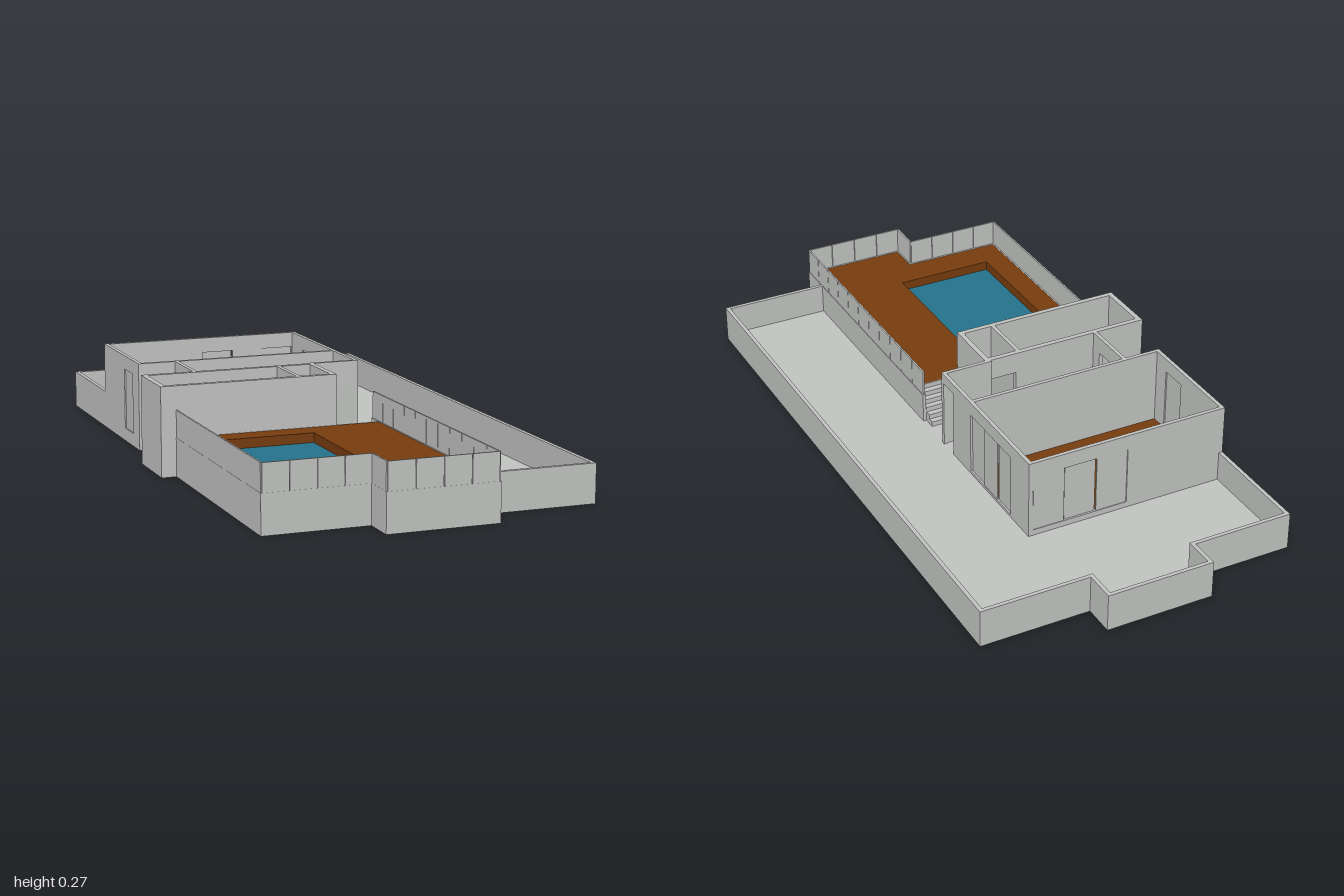
import * as THREE from 'three';

const mat = (name, color) => {
  const m = new THREE.MeshStandardMaterial({ color });
  m.name = name;
  return m;
};

export function createModel() {
  const root = new THREE.Group();
  root.name = 'terraceHouse';
  const concrete = mat('concreteGrey', 0xc0c2c0);
  const timber = mat('timberBrown', 0x763b0e);
  const water = mat('waterBlue', 0x25728a);
  const T = 0.012, FLOOR = 0.022, LOW = 0.115, HIGH = 0.267;

  const add = (name, geo, material, parent = root) => {
    const m = new THREE.Mesh(geo, material);
    m.name = name;
    parent.add(m);
    return m;
  };
  const group = (name) => {
    const g = new THREE.Group();
    g.name = name;
    root.add(g);
    return g;
  };
  // Box given by its minimum and maximum corners
  const box = (name, a, b, material, parent) => {
    const m = add(name, new THREE.BoxGeometry(b[0] - a[0], b[1] - a[1], b[2] - a[2]), material, parent);
    m.position.set((a[0] + b[0]) / 2, (a[1] + b[1]) / 2, (a[2] + b[2]) / 2);
    return m;
  };
  // Flat plan outline in x, z raised from y0 to y1
  const outline = (pts) => pts.map(([x, z]) => new THREE.Vector2(x, -z));
  const slab = (name, pts, y0, y1, material, hole) => {
    const s = new THREE.Shape(outline(pts));
    if (hole) s.holes.push(new THREE.Path(outline(hole)));
    const geo = new THREE.ExtrudeGeometry(s, { depth: y1 - y0, bevelEnabled: false });
    geo.rotateX(-Math.PI / 2).translate(0, y0, 0);
    return add(name, geo, material);
  };
  // Upright wall between two plan points; openings are [from, to, bottom, top]
  const wall = (name, a, b, y1, parent, openings = [], y0 = 0, t = T, extend = t / 2) => {
    const dx = b[0] - a[0], dz = b[1] - a[1], len = Math.hypot(dx, dz);
    const s = new THREE.Shape();
    s.moveTo(-extend, y0).lineTo(len + extend, y0).lineTo(len + extend, y1).lineTo(-extend, y1).closePath();
    for (const [u0, u1, v0, v1] of openings) {
      const h = new THREE.Path();
      h.moveTo(u0, v0).lineTo(u0, v1).lineTo(u1, v1).lineTo(u1, v0).closePath();
      s.holes.push(h);
    }
    const geo = new THREE.ExtrudeGeometry(s, { depth: t, bevelEnabled: false }).translate(0, 0, -t / 2);
    const m = add(name, geo, concrete, parent);
    m.rotation.y = Math.atan2(-dz, dx);
    m.position.set(a[0], 0, a[1]);
    return m;
  };

  // Ground slab, notched around the open tower
  slab('groundSlab', [
    [-0.465, 0.9], [-0.155, 0.9], [-0.155, 1], [0.175, 1], [0.175, 0.9], [0.51, 0.9],
    [0.51, -0.905], [0.175, -0.905], [0.175, -1], [-0.155, -1], [-0.155, -0.905], [-0.465, -0.905],
    [-0.465, -0.18], [-0.35, -0.18], [-0.35, 0], [0.028, 0], [0.028, 0.185], [-0.465, 0.185],
  ], 0, FLOOR, concrete);

  // Low parapet round the terrace
  const parapet = group('parapet');
  const edge = [[-0.459, -0.55], [-0.459, -0.899], [-0.149, -0.899], [-0.149, -0.994], [0.169, -0.994],
    [0.169, -0.899], [0.504, -0.899], [0.504, 0.894], [0.175, 0.894]];
  for (let i = 0; i < edge.length - 1; i++) wall('parapetWall', edge[i], edge[i + 1], LOW, parapet);

  // Back room and the hall in front of it
  const rooms = group('rooms');
  const L = -0.459, R = 0.169, B = -0.544, M = -0.184;
  wall('backWall', [L, B], [R, B], HIGH, rooms, [[0.315, 0.62, 0.04, 0.22]]);
  wall('leftWall', [L, B], [L, M], HIGH, rooms, [[0.215, 0.3, 0.04, 0.225]]);
  wall('rightWall', [R, B], [R, -0.006], HIGH, rooms, [[0.104, 0.354, 0.03, 0.225], [0.469, 0.53, FLOOR, 0.235]]);
  wall('middleWall', [L, M], [R, M], HIGH, rooms);
  wall('hallLeftWall', [-0.344, M], [-0.344, -0.006], HIGH, rooms, [[0.04, 0.14, 0.04, 0.215]]);
  wall('hallFrontWall', [0.02, -0.006], [R, -0.006], HIGH, rooms);
  box('roomFloor', [L, FLOOR, B], [R, FLOOR + 0.006, M], timber);

  // Sliding panes set back in the wide openings
  const panes = group('slidingPanes');
  for (let i = 0; i < 3; i++) {
    const z = -0.44 + i * 0.0833, x = -0.144 + i * 0.1017, o = i % 2 ? 0.002 : -0.002;
    box('sidePane', [R + o - 0.002, 0.03, z + 0.001], [R + o + 0.002, 0.225, z + 0.082], concrete, panes);
    box('backPane', [x + 0.001, 0.04, B + o - 0.002], [x + 0.1, 0.22, B + o + 0.002], concrete, panes);
  }
  box('leftPane', [L - 0.002, 0.04, -0.329], [L + 0.002, 0.225, -0.244], concrete, panes);

  // Open tower with a dividing wall
  const tower = group('tower');
  const tx0 = -0.502, tx1 = 0.022, tz0 = 0.002, tz1 = 0.179;
  wall('towerBack', [tx0, tz0], [tx1, tz0], HIGH, tower, [[0.43, 0.515, FLOOR, 0.2]], 0, 0.016);
  wall('towerFront', [tx0, tz1], [tx1, tz1], HIGH, tower, [], 0, 0.016);
  wall('towerLeft', [tx0, tz0], [tx0, tz1], HIGH, tower, [], 0, 0.016);
  wall('towerRight', [tx1, tz0], [tx1, tz1], HIGH, tower, [], 0, 0.016);
  wall('towerDivider', [-0.085, tz0], [-0.085, tz1], HIGH, tower);

  // Raised pool deck: grey retaining wall, timber floor, sunken water
  const plan = (i) => [[-0.465 + i, 0.9 - i], [-0.155 + i, 0.9 - i], [-0.155 + i, 1 - i],
    [0.175 - i, 1 - i], [0.175 - i, 0.185], [-0.465 + i, 0.185]];
  const pool = [[-0.38, 0.26], [-0.07, 0.26], [-0.07, 0.79], [-0.38, 0.79]];
  const inner = plan(0.01).map(([x, z]) => [x, z === 0.185 ? 0.188 : z]);
  slab('deckWall', plan(0), FLOOR, LOW, concrete, inner);
  slab('deckFloor', inner, FLOOR, LOW - 0.001, timber, pool);
  box('poolWater', [-0.38, FLOOR, 0.26], [-0.07, 0.085, 0.79], water);

  // Balustrade panels along the deck edge
  const rail = group('balustrade');
  const runs = [[[-0.462, 0.187], [-0.462, 0.897], 1], [[-0.462, 0.897], [-0.152, 0.897], 4],
    [[-0.152, 0.897], [-0.152, 0.997], 1], [[-0.152, 0.997], [0.171, 0.997], 4],
    [[0.171, 0.997], [0.171, 0.13], 11]];
  for (const [a, b, n] of runs) {
    const at = (t) => [a[0] + (b[0] - a[0]) * t, a[1] + (b[1] - a[1]) * t];
    for (let i = 0; i < n; i++) wall('railPanel', at(i / n), at((i + 1) / n), 0.196, rail, [], LOW, 0.005, -0.001);
  }

  // Stairs from the terrace up to the deck
  const stairs = group('stairs');
  const steps = 5, run = 0.095 / steps;
  for (let i = 0; i < steps; i++) {
    const z = 0.09 + i * run;
    box('step', [0.03, FLOOR, z], [0.165, FLOOR + (LOW - FLOOR) * (i + 1) / (steps + 1), z + run], concrete, stairs);
  }
  box('stairWall', [0.165, FLOOR, 0.13], [0.175, LOW, 0.185], concrete, stairs);
  return root;
}
